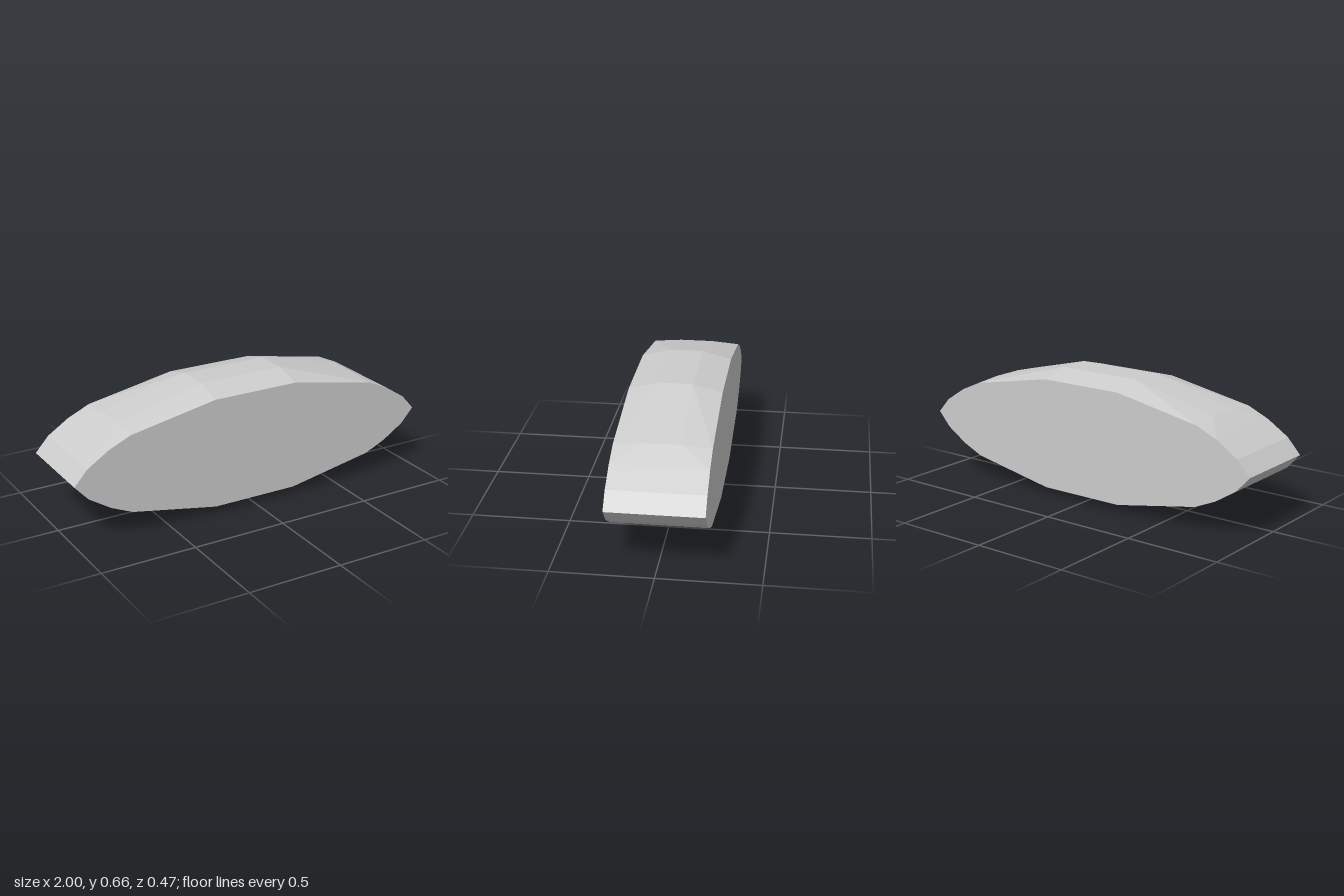
import * as THREE from 'three';
import { ConvexGeometry } from 'three/addons/geometries/ConvexGeometry.js';

const MID_Y = 0.33;

// Mirror one quarter outline [x, height above the middle] into a full ring at depth z
function ring(quarter, z) {
  const points = [];
  for (const [x, h] of quarter) {
    for (const sx of [-1, 1]) {
      for (const sy of h === 0 ? [1] : [-1, 1]) {
        points.push(new THREE.Vector3(sx * x, MID_Y + sy * h, z));
      }
    }
  }
  return points;
}

export function createModel() {
  const model = new THREE.Group();
  model.name = 'facetedLens';

  const grey = new THREE.MeshStandardMaterial({ color: 0xcccccc });
  grey.name = 'light grey';

  // Flat end outline, and the raised band around the middle of the depth
  const endOutline = [[1, 0], [0.93, 0.078], [0.815, 0.152], [0.7, 0.203], [0.233, 0.291]];
  const bandOutline = [[0.7, 0.215], [0.233, 0.33]];

  const points = [];
  for (const side of [-1, 1]) {
    points.push(...ring(endOutline, side * 0.235));
    points.push(...ring(bandOutline, side * 0.087));
  }

  // Flat-faced convex body spanning all four rings
  const body = new THREE.Mesh(new ConvexGeometry(points), grey);
  body.name = 'body';
  model.add(body);

  return model;
}
